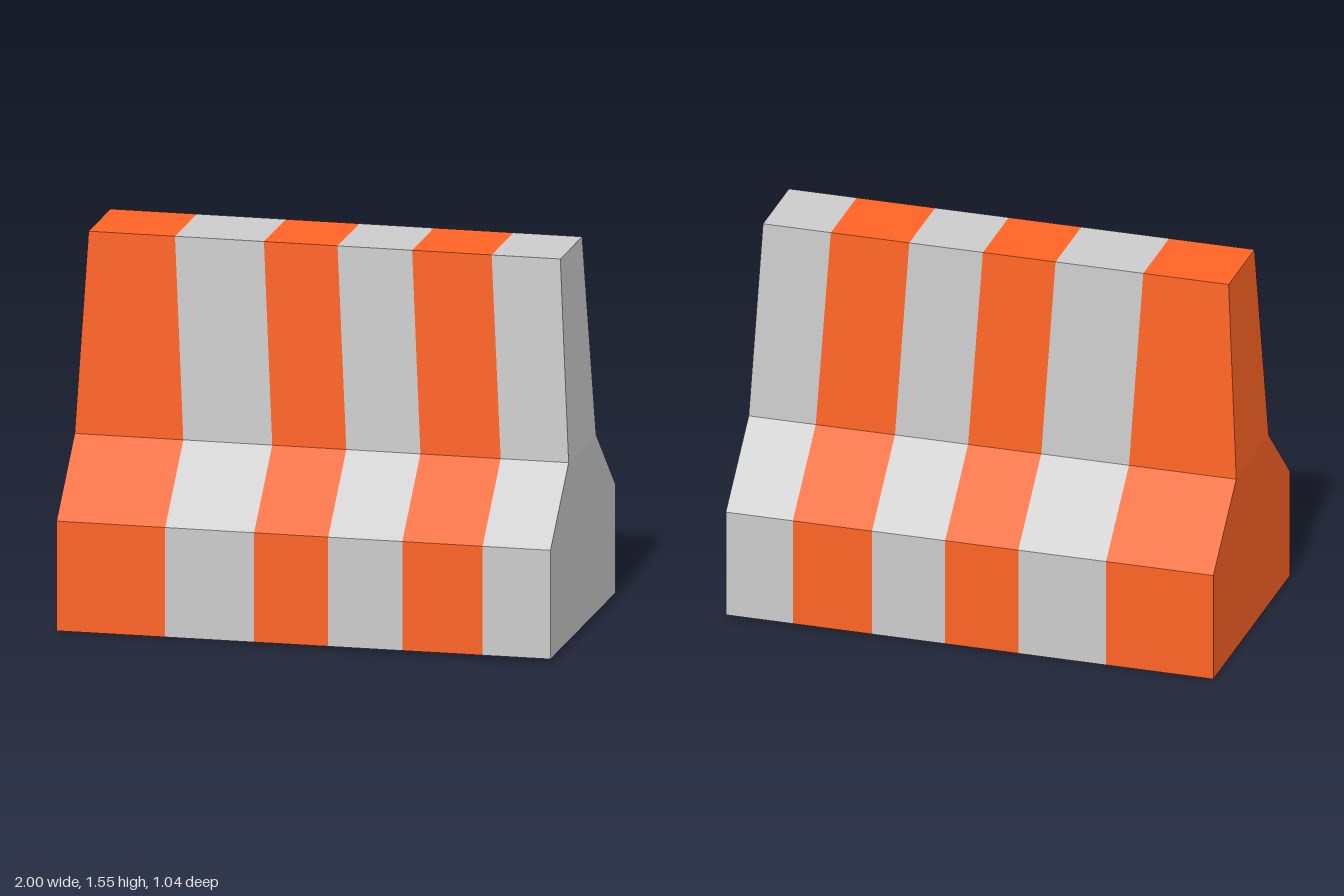
import * as THREE from 'three';

// Cross-section levels: height at the left-hand and right-hand end, front z, back z
const levels = [
  { y0: 0, y1: 0.016, front: 0.52, back: -0.52 },
  { y0: 0.446, y1: 0.458, front: 0.52, back: -0.52 },
  { y0: 0.727, y1: 0.739, front: 0.23, back: -0.21 },
  { y0: 1.54, y1: 1.552, front: 0.185, back: -0.165 },
];

// Stripe borders along the barrier, at the foot and at the top
const footX = [-1, -0.56, -0.2, 0.1, 0.4, 0.725, 1];
const topX = [-0.955, -0.605, -0.245, 0.053, 0.355, 0.677, 0.955];

// Closed cross-section at one stripe border: up the front, down the back
function section(i) {
  const point = (level, z, isTop) => {
    const x = isTop ? topX[i] : footX[i];
    return [x, THREE.MathUtils.mapLinear(x, isTop ? topX[0] : -1, isTop ? topX[6] : 1, level.y0, level.y1), z];
  };
  const front = levels.map((l, k) => point(l, l.front, k === 3));
  const back = levels.map((l, k) => point(l, l.back, k === 3));
  return [...front, ...back.reverse()];
}

function meshFromQuads(name, quads, material) {
  const positions = quads.flatMap(([a, b, c, d]) => [a, b, c, a, c, d]).flat();
  const geometry = new THREE.BufferGeometry();
  geometry.setAttribute('position', new THREE.Float32BufferAttribute(positions, 3));
  geometry.computeVertexNormals();
  const mesh = new THREE.Mesh(geometry, material);
  mesh.name = name;
  return mesh;
}

export function createModel() {
  const group = new THREE.Group();
  group.name = 'roadBarrier';
  const grey = new THREE.MeshStandardMaterial({ color: 0xcccccc, flatShading: true });
  const orange = new THREE.MeshStandardMaterial({ color: 0xff6426, flatShading: true });
  const sections = footX.map((_, i) => section(i));

  // Alternating stripes wrapping front, top and back
  for (let i = 0; i < 6; i++) {
    const a = sections[i], b = sections[i + 1];
    const quads = [];
    for (let k = 0; k < 7; k++) quads.push([a[k], b[k], b[k + 1], a[k + 1]]);
    const isOrange = i % 2 === 0;
    group.add(meshFromQuads(isOrange ? 'orangeStripe' : 'greyStripe', quads, isOrange ? orange : grey));
  }

  // End faces, in three bands each
  const bands = (s) => [0, 1, 2].map((k) => [s[k], s[k + 1], s[6 - k], s[7 - k]]);
  group.add(meshFromQuads('rightEnd', bands(sections[0]), orange));
  group.add(meshFromQuads('leftEnd', bands(sections[6]).map((q) => q.reverse()), grey));

  // Underside
  const a = sections[0], b = sections[6];
  group.add(meshFromQuads('underside', [[a[0], a[7], b[7], b[0]]], grey));
  return group;
}
